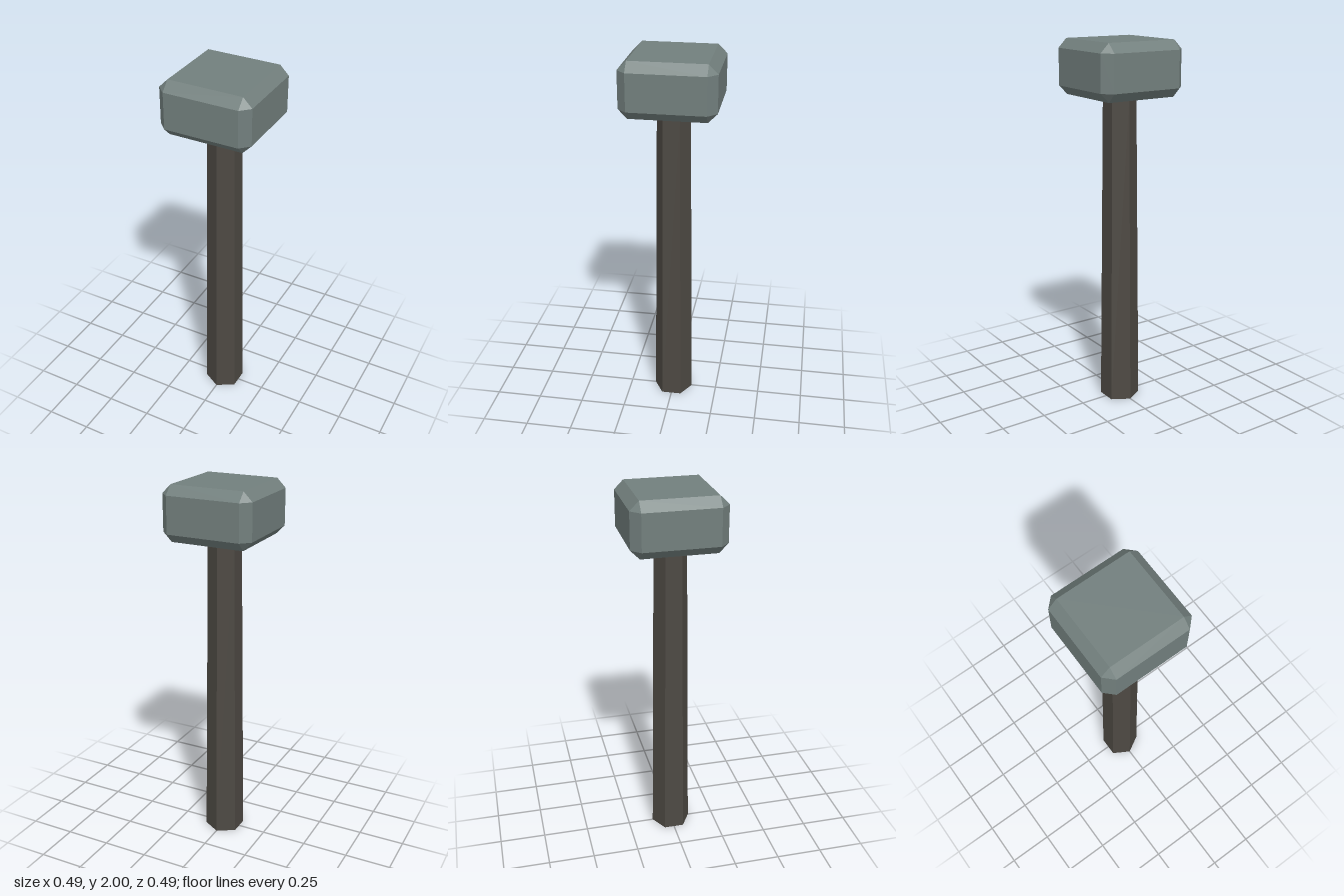
import * as THREE from 'three';
import { ConvexGeometry } from 'three/addons/geometries/ConvexGeometry.js';

// Box with flat bevels on every edge and triangular corners
function chamferedBox(w, h, d, bevel) {
  const half = [w / 2, h / 2, d / 2];
  const points = [];
  for (const sx of [-1, 1]) for (const sy of [-1, 1]) for (const sz of [-1, 1]) {
    const sign = [sx, sy, sz];
    // Each corner is cut into three points, one on each adjoining face
    for (let face = 0; face < 3; face++) {
      points.push(new THREE.Vector3(
        ...half.map((s, axis) => sign[axis] * (axis === face ? s : s - bevel))
      ));
    }
  }
  return new ConvexGeometry(points);
}

export function createModel() {
  const stone = new THREE.MeshStandardMaterial({ color: 0x727f7d });
  stone.name = 'greyStone';
  const wood = new THREE.MeshStandardMaterial({ color: 0x4d4943 });
  wood.name = 'darkWood';

  const group = new THREE.Group();
  group.name = 'hammer';

  // Tapered hexagonal handle, corners towards front and back
  const handleHeight = 1.71;
  const handleGeometry = new THREE.CylinderGeometry(0.088, 0.108, handleHeight, 6).toNonIndexed();
  handleGeometry.computeVertexNormals();
  const handle = new THREE.Mesh(handleGeometry, wood);
  handle.name = 'handle';
  handle.position.y = handleHeight / 2;
  group.add(handle);

  // Square bevelled head resting on the handle
  const headHeight = 0.29;
  const head = new THREE.Mesh(chamferedBox(0.494, headHeight, 0.494, 0.048), stone);
  head.name = 'head';
  head.position.y = handleHeight + headHeight / 2;
  group.add(head);

  return group;
}
